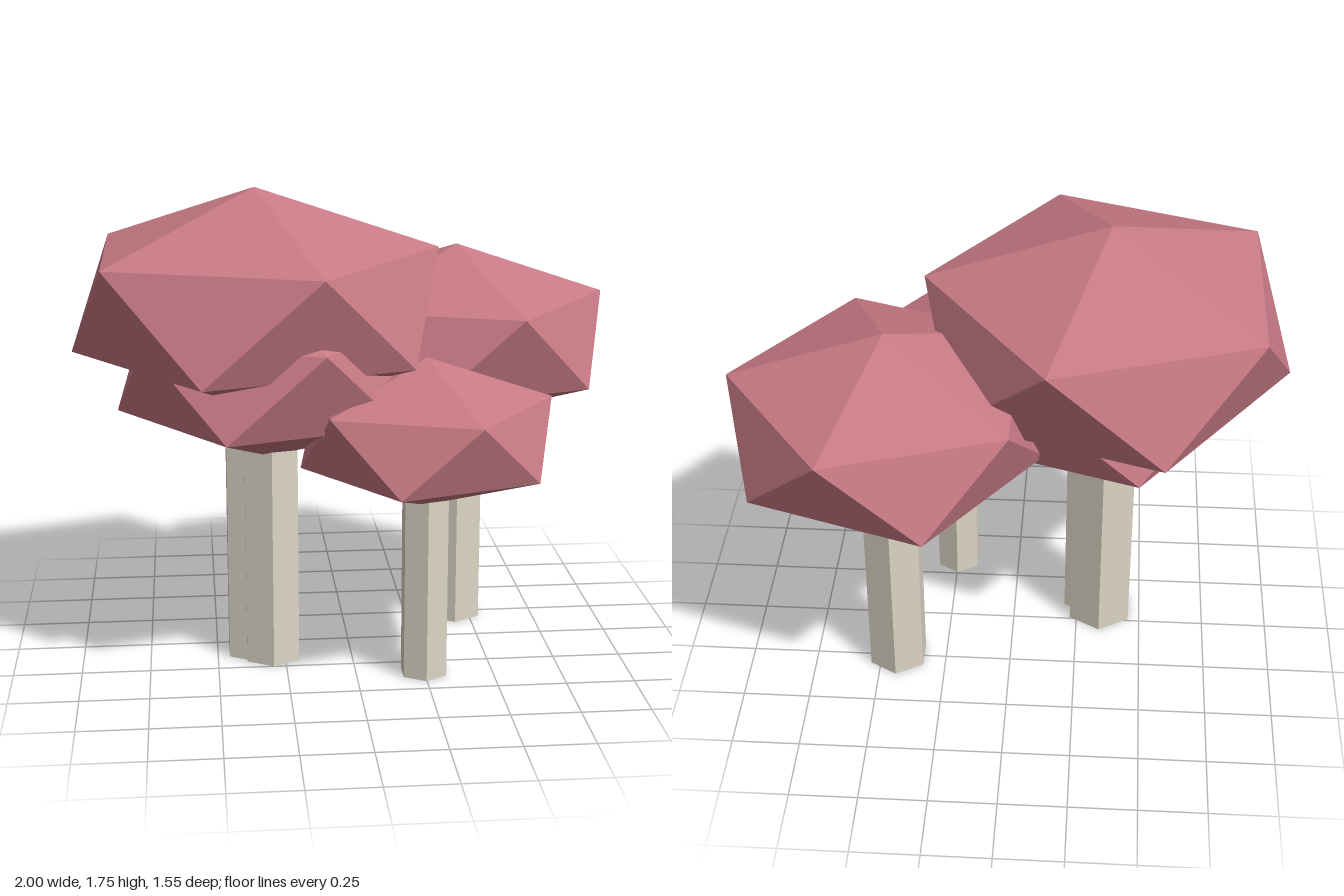
import * as THREE from 'three';
import { ConvexGeometry } from 'three/addons/geometries/ConvexGeometry.js';

const leafMaterial = new THREE.MeshStandardMaterial({ color: 0xc87a85, flatShading: true });
const barkMaterial = new THREE.MeshStandardMaterial({ color: 0xddd6c6, flatShading: true });

// Squashed icosahedron standing on a tip: two pentagon rings, the lower one turned by half a step
function canopyGeometry(ringRadius, halfHeight) {
  const ringY = halfHeight / Math.sqrt(5);
  const points = [new THREE.Vector3(0, halfHeight, 0), new THREE.Vector3(0, -halfHeight, 0)];
  for (let i = 0; i < 10; i++) {
    const a = (i * Math.PI) / 5;
    const y = i % 2 === 0 ? ringY : -ringY;
    points.push(new THREE.Vector3(Math.cos(a) * ringRadius, y, Math.sin(a) * ringRadius));
  }
  return new ConvexGeometry(points);
}

// One tree: six-sided trunk reaching into the middle of its canopy
function createTree({ name, x, z, y, ring, half, trunk }) {
  const tree = new THREE.Group();
  tree.name = name;
  tree.position.set(x, 0, z);

  const trunkMesh = new THREE.Mesh(new THREE.CylinderGeometry(trunk, trunk, y, 6), barkMaterial);
  trunkMesh.name = 'trunk';
  trunkMesh.position.y = y / 2;

  const canopy = new THREE.Mesh(canopyGeometry(ring, half), leafMaterial);
  canopy.name = 'canopy';
  canopy.position.y = y;

  tree.add(trunkMesh, canopy);
  return tree;
}

export function createModel() {
  const group = new THREE.Group();
  group.name = 'treeCluster';
  const trees = [
    { name: 'tallTree', x: -0.34, z: 0.075, y: 1.35, ring: 0.662, half: 0.404, trunk: 0.134 },
    { name: 'backTree', x: 0.436, z: -0.243, y: 1.143, ring: 0.56, half: 0.343, trunk: 0.116 },
    { name: 'frontTree', x: 0.248, z: 0.347, y: 0.915, ring: 0.447, half: 0.271, trunk: 0.09 },
    { name: 'underTree', x: -0.296, z: 0.14, y: 1.116, ring: 0.546, half: 0.336, trunk: 0.111 },
  ];
  for (const tree of trees) group.add(createTree(tree));
  return group;
}
